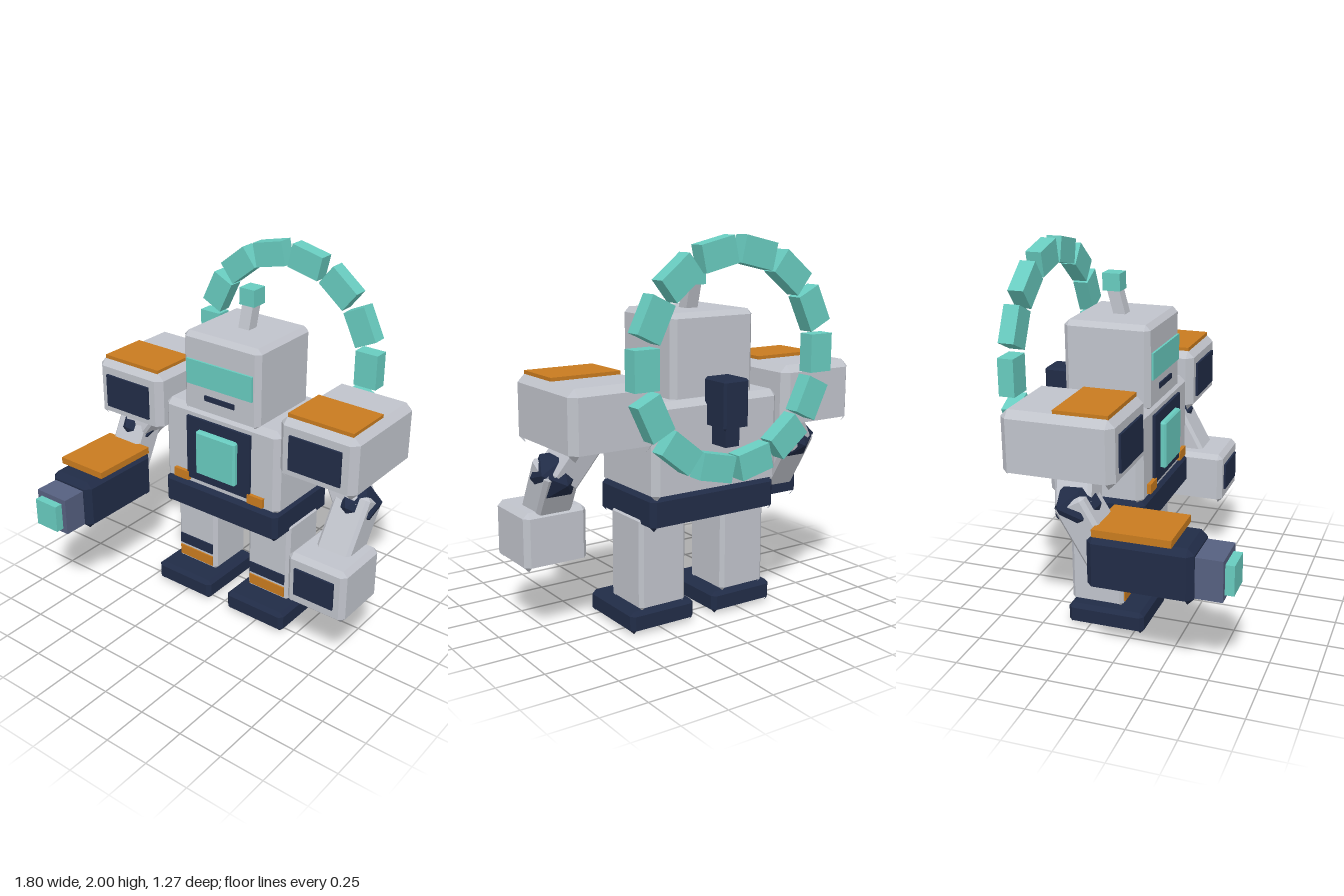
import * as THREE from 'three';

const mat = (name, color) => {
  const m = new THREE.MeshStandardMaterial({ color, side: THREE.DoubleSide });
  m.name = name;
  return m;
};

// Box with cut edges: sloped rim on top, cut uprights, open underside with pointed corners
function hullGeometry(w, h, d, c) {
  const x = w / 2, y = h / 2, z = d / 2, pos = [];
  const corners = [[1, 1], [1, -1], [-1, -1], [-1, 1]];
  const ring = corners.flatMap(([sx, sz]) => {
    const side = [sx * x, sz * (z - c)], front = [sx * (x - c), sz * z];
    return sx * sz > 0 ? [front, side] : [side, front];
  });
  const at = (k, yy) => [ring[k % 8][0], yy, ring[k % 8][1]];
  const hi = k => at(k, y - c), lo = k => at(k, c - y);
  const inset = (i, yy) => [corners[i % 4][0] * (x - c), yy, corners[i % 4][1] * (z - c)];
  const tri = (...p) => p.forEach(v => pos.push(...v));
  const quad = (a, b, e, f) => { tri(a, b, e); tri(a, e, f); };
  for (let k = 0; k < 8; k++) quad(lo(k), lo(k + 1), hi(k + 1), hi(k));
  for (let i = 0; i < 4; i++) {
    tri(hi(2 * i), hi(2 * i + 1), inset(i, y));
    quad(hi(2 * i + 1), hi(2 * i + 2), inset(i + 1, y), inset(i, y));
    tri(lo(2 * i + 1), lo(2 * i), inset(i, -y));
  }
  quad(inset(0, y), inset(1, y), inset(2, y), inset(3, y));
  const g = new THREE.BufferGeometry();
  g.setAttribute('position', new THREE.Float32BufferAttribute(pos, 3));
  g.computeVertexNormals();
  return g;
}

export function createModel() {
  const grey = mat('light grey', 0xc0c3cb);
  const navy = mat('navy', 0x212c47);
  const teal = mat('teal', 0x68cbbf);
  const orange = mat('orange', 0xc87b1f);
  const slate = mat('slate', 0x566080);

  const model = new THREE.Group();
  model.name = 'robot';
  const body = new THREE.Group();
  body.name = 'body';
  body.position.x = -0.012;
  model.add(body);

  const add = (name, geometry, material, x = 0, y = 0, z = 0) => {
    const m = new THREE.Mesh(geometry, material);
    m.name = name;
    m.position.set(x, y, z);
    body.add(m);
    return m;
  };
  // Parts are given by centre x and width, then y and z ranges
  const hull = (name, m, x, w, y0, y1, z0, z1, c = 0.027) =>
    add(name, hullGeometry(w, y1 - y0, z1 - z0, c), m, x, (y0 + y1) / 2, (z0 + z1) / 2);
  const box = (name, m, x, w, y0, y1, z0, z1) =>
    add(name, new THREE.BoxGeometry(w, y1 - y0, z1 - z0), m, x, (y0 + y1) / 2, (z0 + z1) / 2);
  // Limb whose top is at a and whose lower end is at b
  const limb = (name, m, a, b, w, d, c) => {
    const top = new THREE.Vector3(...a), end = new THREE.Vector3(...b);
    const axis = top.clone().sub(end), len = axis.length();
    const g = c ? hullGeometry(w, len, d, c) : new THREE.BoxGeometry(w, len, d);
    const part = add(name, g, m);
    part.position.copy(top).add(end).multiplyScalar(0.5);
    part.quaternion.setFromUnitVectors(new THREE.Vector3(0, 1, 0), axis.normalize());
  };

  // Head
  hull('head', grey, 0, 0.5, 1.17, 1.625, -0.435, 0.03);
  box('visor', teal, 0, 0.43, 1.34, 1.48, 0.01, 0.042);
  box('mouth', navy, 0, 0.195, 1.263, 1.292, 0.03, 0.038);
  limb('antennaStem', grey, [0, 1.77, -0.245], [0, 1.6, -0.2], 0.07, 0.065);
  box('antennaTip', teal, 0, 0.095, 1.745, 1.837, -0.293, -0.197);

  // Torso
  hull('torso', grey, 0, 0.77, 0.71, 1.205, -0.48, 0.035, 0.033);
  hull('hips', navy, 0, 0.77, 0.555, 0.735, -0.46, 0.045, 0.025);
  box('chestPanel', navy, 0, 0.425, 0.775, 1.15, 0.03, 0.05);
  hull('chestScreen', teal, 0, 0.265, 0.83, 1.09, 0.03, 0.08, 0.01);

  // Sides shared by left and right
  for (const s of [-1, 1]) {
    box('waistLamp', orange, s * 0.252, 0.1, 0.753, 0.806, 0.03, 0.056);
    hull('leg', grey, s * 0.254, 0.28, 0.115, 0.61, -0.365, -0.075, 0.02);
    box('shinNavyStripe', navy, s * 0.254, 0.236, 0.225, 0.288, -0.08, -0.067);
    box('shinOrangeStripe', orange, s * 0.254, 0.236, 0.145, 0.207, -0.08, -0.067);
    hull('foot', navy, s * 0.254, 0.385, 0, 0.12, -0.368, 0.056, 0.022);
    hull('shoulder', grey, s * 0.624, 0.462, 0.98, 1.325, -0.515, 0.062, 0.037);
    box('shoulderPanel', navy, s * 0.624, 0.308, 1.053, 1.245, 0.055, 0.075);
    box('shoulderTopPlate', orange, s * 0.624, 0.385, 1.315, 1.343, -0.25, 0.028);
    limb('upperArm', grey, [s * 0.585, 1.08, -0.215], [s * 0.75, 0.83, -0.16], 0.16, 0.19, 0.015);
    const elbow = add('elbow', new THREE.IcosahedronGeometry(0.128, 0), navy, s * 0.754, 0.848, -0.16);
    elbow.rotation.x = 0.3;
    limb('forearm', grey, [s * 0.754, 0.9, -0.18], [s * 0.742, 0.575, 0.005], 0.2, 0.17, 0.018);
  }

  // Left fist
  hull('fist', grey, 0.74, 0.35, 0.355, 0.66, -0.14, 0.2);
  box('fistPanel', navy, 0.738, 0.235, 0.432, 0.588, 0.19, 0.212);

  // Right arm cannon
  hull('cannonBody', navy, -0.738, 0.29, 0.465, 0.755, -0.08, 0.455, 0.033);
  box('cannonTopPlate', orange, -0.735, 0.308, 0.762, 0.8, -0.04, 0.355);
  box('cannonBarrel', slate, -0.738, 0.213, 0.5, 0.712, 0.42, 0.592);
  box('cannonMuzzle', teal, -0.738, 0.153, 0.526, 0.682, 0.58, 0.638);

  // Ring behind the back with its mount
  hull('ringMount', navy, 0, 0.15, 1.06, 1.31, -0.625, -0.45, 0.012);
  box('ringMountFoot', navy, 0, 0.085, 0.97, 1.1, -0.59, -0.45);
  const blockGeometry = new THREE.BoxGeometry(0.135, 0.195, 0.085);
  for (let i = 0; i < 14; i++) {
    const a = i / 14 * Math.PI * 2;
    const block = add('ringBlock', blockGeometry, teal, 0.526 * Math.cos(a), 1.4 + 0.526 * Math.sin(a), -0.593);
    block.rotation.z = a;
  }
  return model;
}
